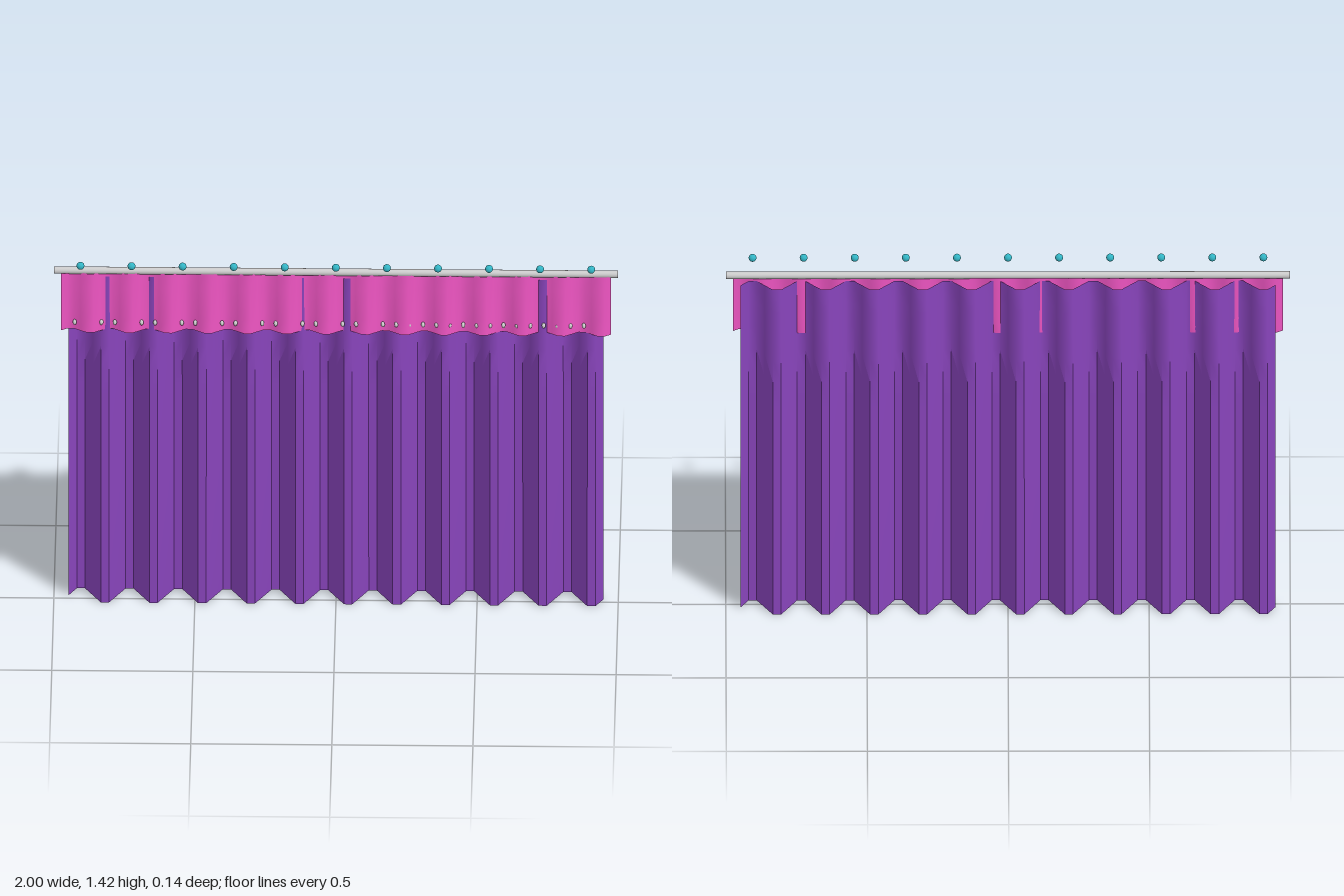
import * as THREE from 'three';
import { toCreasedNormals } from 'three/addons/utils/BufferGeometryUtils.js';

const mat = (color, extra = {}) => new THREE.MeshStandardMaterial({ color, ...extra });

// Pleated sheet: six facets per fold; fold depth and offset run from top to bottom.
function pleatedCloth({ name, width, bottom, top, folds, midZ, depth, rows, color, crease }) {
  const height = top - bottom;
  const geometry = new THREE.PlaneGeometry(width, height, folds * 6, rows);
  const p = geometry.attributes.position;
  for (let i = 0; i < p.count; i++) {
    const drop = 0.5 - p.getY(i) / height;
    const phase = (p.getX(i) / width + 0.5) * folds * Math.PI * 2;
    const mid = THREE.MathUtils.lerp(midZ[0], midZ[1], drop);
    const amp = THREE.MathUtils.lerp(depth[0], depth[1], drop);
    p.setZ(i, mid - amp * Math.sin(phase));
  }
  geometry.translate(0, (top + bottom) / 2, 0);
  const mesh = new THREE.Mesh(
    toCreasedNormals(geometry, THREE.MathUtils.degToRad(crease)),
    mat(color, { side: THREE.DoubleSide })
  );
  mesh.name = name;
  return mesh;
}

// Evenly spaced row of small balls along x.
function beadRow({ name, count, reach, y, z, radius, color, squash = 1 }) {
  const row = new THREE.Group();
  row.name = name;
  const geometry = new THREE.SphereGeometry(radius, 16, 12);
  const material = mat(color);
  for (let i = 0; i < count; i++) {
    const bead = new THREE.Mesh(geometry, material);
    bead.name = name + 'Bead';
    bead.position.set(THREE.MathUtils.lerp(-reach, reach, i / (count - 1)), y, z);
    bead.scale.x = squash;
    row.add(bead);
  }
  return row;
}

export function createModel() {
  const model = new THREE.Group();
  model.name = 'curtain';

  // Rod
  const rod = new THREE.Mesh(new THREE.CylinderGeometry(0.013, 0.013, 2, 20), mat(0xcccccc));
  rod.name = 'rod';
  rod.rotation.z = Math.PI / 2;
  rod.position.set(0, 1.36, 0.01);
  model.add(rod);

  // Long curtain, soft near the top and sharply folded lower down
  model.add(pleatedCloth({
    name: 'drape', width: 1.896, bottom: 0, top: 1.335, folds: 11, rows: 14,
    midZ: [-0.018, -0.021], depth: [0.034, 0.056], color: 0x8844bb, crease: 50
  }));

  // Short valance in front
  model.add(pleatedCloth({
    name: 'valance', width: 1.95, bottom: 1.12, top: 1.355, folds: 14, rows: 4,
    midZ: [0.018, 0.025], depth: [0.0095, 0.0165], color: 0xee55c2, crease: 60
  }));

  // Studs along the valance hem and ornaments above the rod
  model.add(beadRow({
    name: 'hemStuds', count: 40, reach: 0.926, y: 1.155, z: 0.025,
    radius: 0.01, color: 0xcccccc, squash: 0.7
  }));
  model.add(beadRow({
    name: 'topBeads', count: 11, reach: 0.905, y: 1.405, z: 0.055,
    radius: 0.014, color: 0x33b5c5
  }));

  return model;
}
